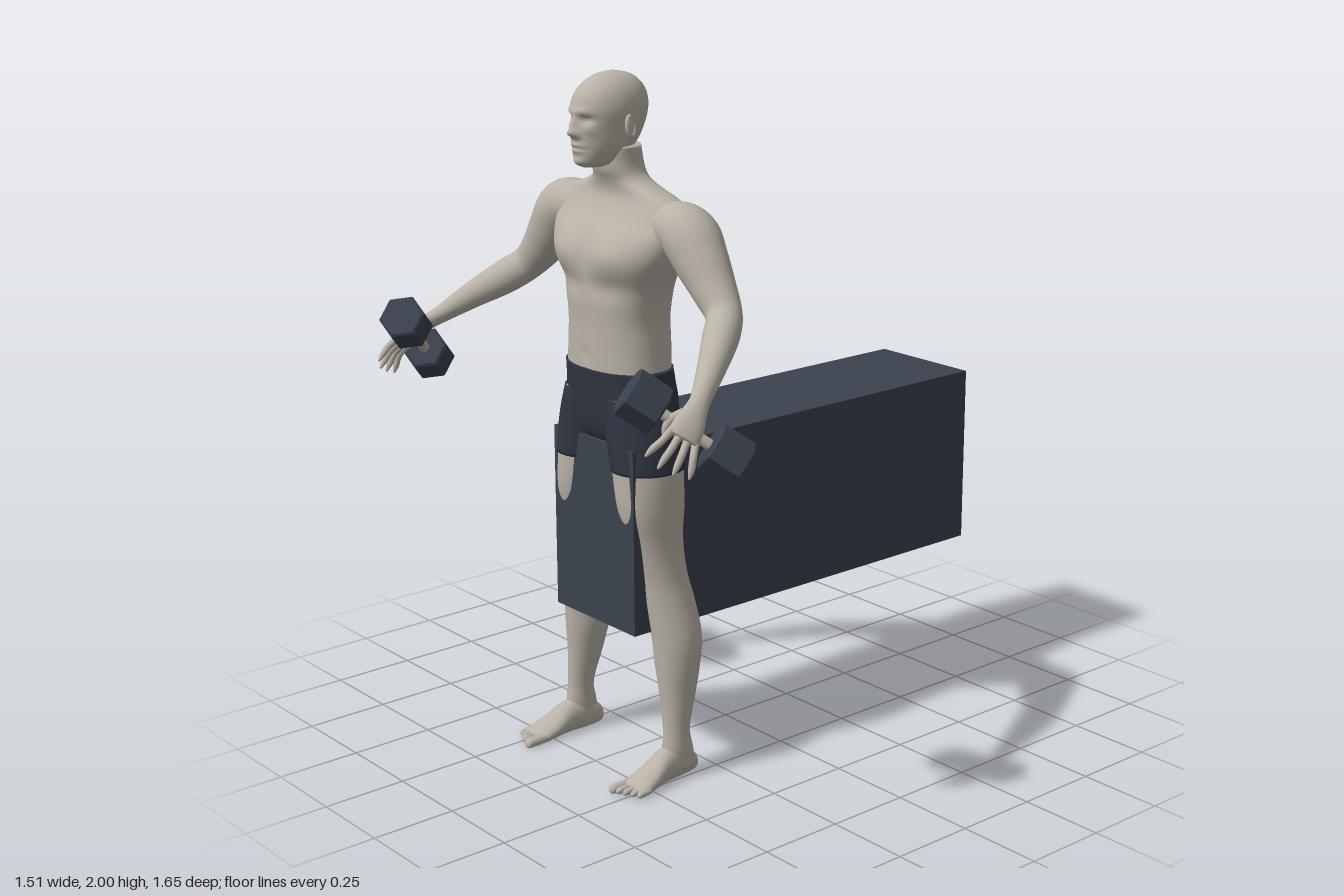
import * as THREE from 'three';

const V = (x, y, z) => new THREE.Vector3(x, y, z);
const material = (name, color) => Object.assign(new THREE.MeshStandardMaterial({ color }), { name });
const X = V(1, 0, 0), Y = V(0, 1, 0), DOWN = V(0, -1, 0);

// Soft bump centred on (x, y), used to sculpt surfaces; mirrored over x
const bump = (v, x, y, sx, sy) =>
  Math.exp(-(((Math.abs(v.x) - x) / sx) ** 2) - ((v.y - y) / sy) ** 2);

function catmull(rows, k, t) {
  const n = rows.length - 1;
  const [p, q, r, s] = [k - 1, k, k + 1, k + 2].map(i => rows[Math.min(n, Math.max(0, i))]);
  return q.map((_, c) => q[c] + 0.5 * t * (r[c] - p[c] + t * (2 * p[c] - 5 * q[c] + 4 * r[c] - s[c]
    + t * (3 * (q[c] - r[c]) + s[c] - p[c]))));
}

// Smooth skin through rows of [x, y, z, half size along ref, half size across];
// axis is the fixed direction the rows advance in, otherwise they follow the path
function loft(rows, { ref = X, axis = null, p = 2, seg = 28, sub = 5, warp = null, side = 1 } = {}) {
  const rings = [];
  for (let k = 0; k < rows.length - 1; k++)
    for (let i = 0; i < sub; i++) rings.push(catmull(rows, k, i / sub));
  rings.push(rows[rows.length - 1]);
  const pos = [], index = [], n = rings.length;
  const put = v => { if (warp) warp(v); pos.push(v.x * side, v.y, v.z); };
  const centre = i => V(rings[i][0], rings[i][1], rings[i][2]);
  const power = c => Math.sign(c) * Math.abs(c) ** (2 / p);
  rings.forEach((r, i) => {
    const T = axis || centre(Math.min(n - 1, i + 1)).sub(centre(Math.max(0, i - 1))).normalize();
    const A = ref.clone().addScaledVector(T, -ref.dot(T)).normalize();
    const B = T.clone().cross(A);
    for (let j = 0; j < seg; j++) {
      const t = j / seg * Math.PI * 2;
      put(centre(i).addScaledVector(A, Math.max(0.0005, r[3]) * power(Math.cos(t)))
        .addScaledVector(B, Math.max(0.0005, r[4]) * power(Math.sin(t))));
    }
  });
  put(centre(0));
  put(centre(n - 1));
  const tri = (a, b, c) => side > 0 ? index.push(a, b, c) : index.push(a, c, b);
  for (let j = 0; j < seg; j++) {
    const k = (j + 1) % seg, last = (n - 1) * seg;
    for (let i = 0; i < n - 1; i++) {
      const a = i * seg + j, b = i * seg + k;
      tri(a, b, a + seg);
      tri(b, b + seg, a + seg);
    }
    tri(n * seg, k, j);
    tri(n * seg + 1, last + j, last + k);
  }
  const g = new THREE.BufferGeometry();
  g.setAttribute('position', new THREE.Float32BufferAttribute(pos, 3));
  g.setIndex(index);
  g.computeVertexNormals();
  return g;
}

export function createModel() {
  const model = new THREE.Group();
  const skin = material('skin', 0xb8b1a6);
  const cloth = material('shorts cloth', 0x2f3542);
  const pad = material('dark slate', 0x3b424e);
  const add = (name, geo, mat, parent = model) => {
    const m = new THREE.Mesh(geo, mat);
    m.name = name;
    parent.add(m);
    return m;
  };

  // Bench block
  add('bench', new THREE.BoxGeometry(0.36, 0.54, 1.32), pad).position.set(0, 0.71, -0.17);

  // Torso and neck, with chest, belly and spine sculpted
  add('torso', loft([
    [0, 1.16, 0.392, 0.171, 0.116], [0, 1.25, 0.39, 0.163, 0.118], [0, 1.33, 0.39, 0.16, 0.118],
    [0, 1.42, 0.39, 0.18, 0.123], [0, 1.5, 0.388, 0.225, 0.124], [0, 1.56, 0.378, 0.25, 0.114],
    [0, 1.605, 0.364, 0.255, 0.094], [0, 1.64, 0.36, 0.245, 0.076], [0, 1.665, 0.363, 0.21, 0.064],
    [0, 1.685, 0.368, 0.15, 0.06], [0, 1.708, 0.376, 0.097, 0.06], [0, 1.74, 0.386, 0.076, 0.064],
    [0, 1.8, 0.394, 0.072, 0.062],
  ], {
    axis: Y, p: 2.3, seg: 72, sub: 6,
    warp: v => {
      if (v.z > 0.4) {
        v.z += 0.014 * bump(v, 0.1, 1.51, 0.075, 0.05) - 0.012 * bump(v, 0, 1.52, 0.018, 0.08)
          - 0.01 * bump(v, 0.08, 1.42, 0.09, 0.03) - 0.005 * bump(v, 0, 1.32, 0.012, 0.12)
          - 0.01 * bump(v, 0, 1.225, 0.008, 0.012);
      } else if (v.z < 0.36) {
        v.z += 0.018 * bump(v, 0, 1.42, 0.025, 0.2) - 0.012 * bump(v, 0.11, 1.56, 0.06, 0.08)
          - 0.006 * bump(v, 0.06, 1.27, 0.035, 0.1);
      }
    },
  }), skin);

  // Head with brow, eye sockets, nose, lips and chin
  const head = new THREE.Group();
  head.name = 'head';
  model.add(head);
  add('skull and face', loft([
    [0, 1.745, 0.47, 0.02, 0.032], [0, 1.759, 0.458, 0.045, 0.066], [0, 1.8, 0.436, 0.068, 0.094],
    [0, 1.85, 0.422, 0.078, 0.111], [0, 1.9, 0.415, 0.084, 0.117], [0, 1.94, 0.411, 0.077, 0.108],
    [0, 1.97, 0.407, 0.06, 0.084], [0, 1.99, 0.405, 0.035, 0.05], [0, 2, 0.405, 0.001, 0.001],
  ], {
    axis: Y, p: 2.05, seg: 96, sub: 9,
    warp: v => {
      if (v.z < 0.46) return;
      v.z += 0.02 * bump(v, 0, 1.842, 0.014, 0.013) + 0.01 * bump(v, 0, 1.862, 0.011, 0.022)
        + 0.007 * bump(v, 0.014, 1.838, 0.008, 0.009) + 0.005 * bump(v, 0.022, 1.9, 0.03, 0.01)
        - 0.012 * bump(v, 0.034, 1.878, 0.018, 0.011) + 0.007 * bump(v, 0, 1.808, 0.024, 0.006)
        + 0.007 * bump(v, 0, 1.793, 0.02, 0.006) - 0.005 * bump(v, 0, 1.8, 0.026, 0.003)
        + 0.006 * bump(v, 0, 1.762, 0.022, 0.012) + 0.004 * bump(v, 0.045, 1.85, 0.015, 0.013);
    },
  }), skin, head);

  // Pelvis part of the shorts
  add('shorts', loft([
    [0, 0.955, 0.395, 0.11, 0.055], [0, 0.985, 0.395, 0.165, 0.088], [0, 1.03, 0.389, 0.192, 0.11],
    [0, 1.09, 0.384, 0.187, 0.121], [0, 1.14, 0.387, 0.18, 0.12], [0, 1.186, 0.392, 0.176, 0.119],
  ], {
    axis: Y, p: 2.3, seg: 64,
    warp: v => {
      if (v.z < 0.36) v.z += 0.025 * bump(v, 0, 1.04, 0.018, 0.07) - 0.006 * bump(v, 0.085, 1.06, 0.06, 0.05);
    },
  }), cloth);

  const thighTop = [[0.086, 1.11, 0.389, 0.09, 0.106], [0.1, 1.04, 0.391, 0.099, 0.107],
    [0.113, 0.97, 0.394, 0.1, 0.105], [0.125, 0.905, 0.395, 0.096, 0.104]];
  const grip = V(0.612, 1.178, 0.66);                  // middle of the dumbbell handle
  const across = V(0.135, -0.145, -0.16).normalize();  // handle direction
  const along = V(0.27, -0.64, 0.72).normalize();      // finger direction
  const back = along.clone().cross(across).normalize();
  const inHand = (d, u, n) => grip.clone().addScaledVector(along, d).addScaledVector(across, u).addScaledVector(back, n);

  for (const side of [1, -1]) {
    const s = side > 0 ? 'left' : 'right';
    const part = (name, rows, opts, mat = skin) => add(s + name, loft(rows, { side, ...opts }), mat);

    // Ear: rim and inner shell
    const ear = new THREE.Group();
    ear.name = s + 'Ear';
    head.add(ear);
    ear.position.set(side * 0.086, 1.857, 0.41);
    ear.rotation.set(0.15, side * 0.3, 0);
    add('ear rim', new THREE.TorusGeometry(0.019, 0.005, 8, 20).rotateY(Math.PI / 2).scale(1.2, 1.4, 0.85), skin, ear);
    add('ear shell', new THREE.SphereGeometry(0.018, 14, 10).scale(0.3, 1.3, 0.8), skin, ear);
    add(s + 'Eye', new THREE.SphereGeometry(0.012, 14, 10).scale(1.1, 0.75, 0.8), skin, head)
      .position.set(side * 0.034, 1.877, 0.502);

    // Leg
    part('Leg', [...thighTop,
      [0.138, 0.8, 0.395, 0.083, 0.102], [0.149, 0.7, 0.389, 0.066, 0.086], [0.162, 0.6, 0.378, 0.062, 0.078],
      [0.182, 0.52, 0.367, 0.062, 0.078], [0.204, 0.42, 0.358, 0.066, 0.075], [0.21, 0.34, 0.361, 0.062, 0.067],
      [0.217, 0.25, 0.367, 0.047, 0.055], [0.225, 0.15, 0.379, 0.035, 0.041], [0.227, 0.09, 0.377, 0.036, 0.048],
      [0.226, 0.03, 0.368, 0.034, 0.05]], { axis: DOWN, seg: 36 });

    // Leg of the shorts
    part('ShortsLeg', thighTop.map(r => [r[0], r[1], r[2], r[3] + 0.004, r[4] + 0.003]), { axis: DOWN, seg: 36 }, cloth);

    // Foot and toes, flat underneath
    const flat = { warp: v => { v.y = Math.max(0.002, v.y); }, axis: V(0, 0, 1) };
    part('Foot', [[0.222, 0.03, 0.306, 0.006, 0.008], [0.222, 0.034, 0.322, 0.028, 0.03],
      [0.224, 0.048, 0.37, 0.034, 0.05], [0.228, 0.047, 0.43, 0.038, 0.049], [0.233, 0.027, 0.49, 0.047, 0.032],
      [0.237, 0.016, 0.535, 0.05, 0.021], [0.238, 0.013, 0.555, 0.044, 0.013]], flat);
    for (let i = 0; i < 5; i++) {
      const x = 0.2 + i * 0.02, r = i ? 0.0095 : 0.0135, tip = 0.602 - i * 0.008 - (i > 2 ? 0.004 : 0);
      part('Toe' + (i + 1), [[x, 0.016, 0.52, r, r], [x, 0.014, tip - 0.022, r, r],
        [x, 0.012, tip - 0.006, r * 0.85, r * 0.85], [x, 0.011, tip, 0.001, 0.001]], { ...flat, seg: 12 });
    }

    // Arm from shoulder to knuckles
    const knuckles = inHand(0.045, 0, 0.026), palm = inHand(0.005, 0, 0.03);
    part('Arm', [[0.11, 1.595, 0.368, 0.04, 0.045], [0.2, 1.598, 0.364, 0.066, 0.068],
      [0.272, 1.582, 0.362, 0.082, 0.079], [0.326, 1.52, 0.364, 0.073, 0.076], [0.382, 1.453, 0.368, 0.06, 0.063],
      [0.438, 1.395, 0.382, 0.049, 0.051], [0.484, 1.352, 0.433, 0.049, 0.05], [0.54, 1.3, 0.51, 0.039, 0.039],
      [0.588, 1.248, 0.583, 0.029, 0.026], [0.608, 1.227, 0.615, 0.029, 0.022],
      [...palm.toArray(), 0.042, 0.019], [...knuckles.toArray(), 0.044, 0.015]], { ref: across, seg: 36 });

    // Fingers fan out, thumb hooks around the handle
    const digit = (name, pts, r) => part(name, pts.map((q, i) => [...q.toArray(), ...Array(2).fill(r * [1, 0.95, 0.85, 0.3][i])]),
      { ref: back, seg: 12 });
    [0.066, 0.08, 0.087, 0.078].forEach((len, i) => {
      const u = 0.034 - i * 0.0225, fan = u * 1.7;
      digit('Finger' + (i + 1), [inHand(0.03, u, 0.026), inHand(0.045 + len * 0.4, (u + fan) / 2, 0.024),
        inHand(0.045 + len * 0.8, fan, 0.012), inHand(0.045 + len * 1.08, fan * 1.1, 0.002)], 0.0105);
    });
    digit('Thumb', [inHand(-0.025, -0.025, 0.024), inHand(0, -0.043, 0.008),
      inHand(0.022, -0.044, -0.012), inHand(0.042, -0.036, -0.022)], 0.013);

    // Dumbbell with two six-sided heads, edges slightly bevelled
    const bell = new THREE.Group();
    bell.name = s + 'Dumbbell';
    bell.position.set(side * grip.x, grip.y, grip.z);
    bell.quaternion.setFromUnitVectors(Y, V(side * across.x, across.y, across.z));
    model.add(bell);
    add('handle', new THREE.CylinderGeometry(0.015, 0.015, 0.2, 20), skin, bell);
    const profile = [[0, -0.052], [0.06, -0.052], [0.067, -0.046], [0.067, 0.046], [0.06, 0.052], [0, 0.052]];
    for (const end of [1, -1]) {
      const hex = new THREE.LatheGeometry(profile.map(q => new THREE.Vector2(...q)), 6).toNonIndexed();
      hex.computeVertexNormals();
      add('weight', hex, pad, bell).position.y = end * 0.127;
    }
  }
  return model;
}
